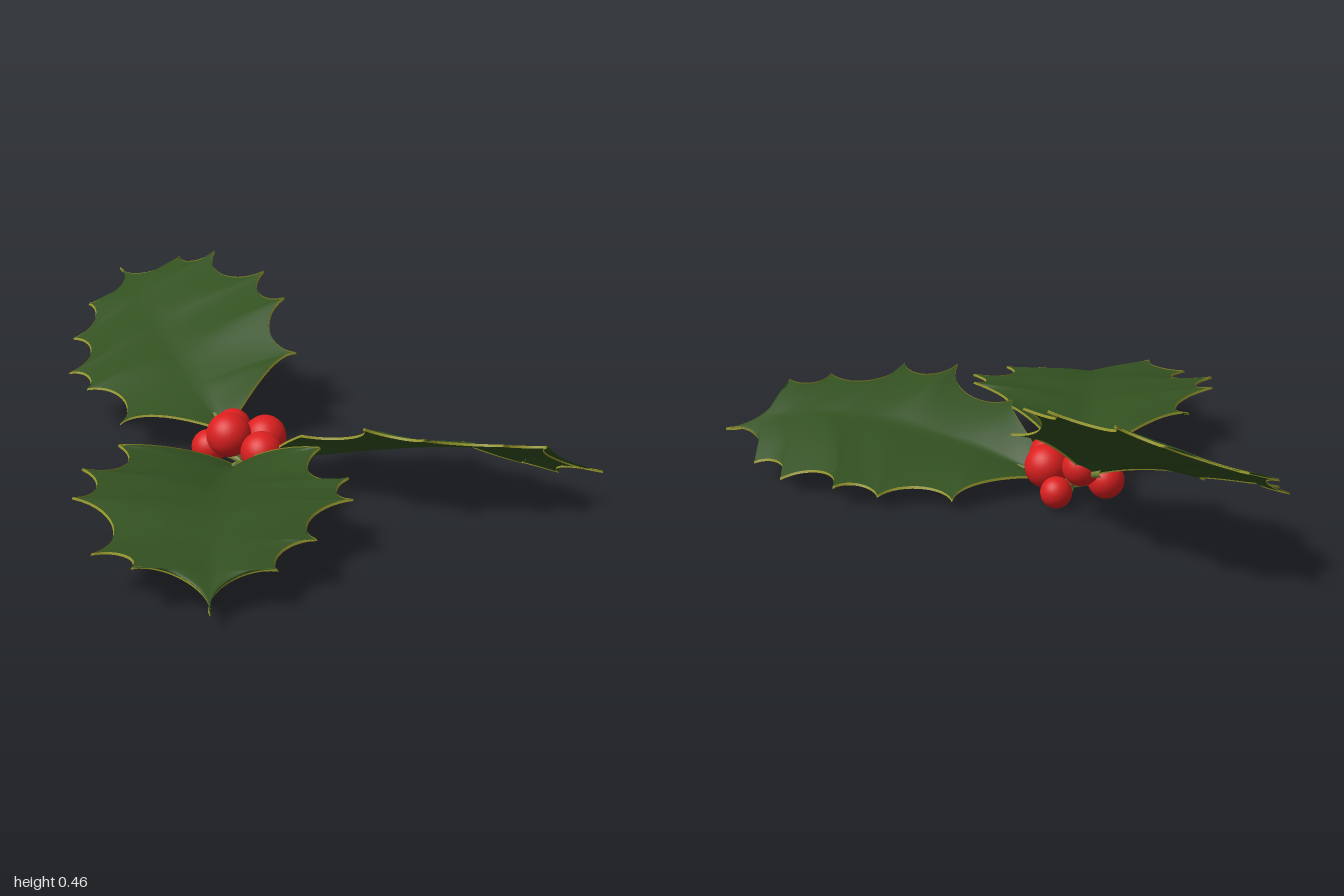
import * as THREE from 'three';

const V = (p) => new THREE.Vector3(...p);
const mat = (name, color, side = THREE.FrontSide) => {
  const m = new THREE.MeshStandardMaterial({ color, side });
  m.name = name;
  return m;
};

// Each leaf: midrib points from base to tip, then five spine tips along each margin.
const LEAVES = [
  {
    name: 'backLeaf',
    rib: [[0.24, 0.09, -0.10], [0.32, 0.175, -0.30], [0.45, 0.26, -0.56], [0.57, 0.33, -0.80], [0.668, 0.365, -1.0]],
    sides: [
      [[0.06, 0.09, -0.38], [0.13, 0.14, -0.60], [0.165, 0.16, -0.72], [0.33, 0.21, -0.875], [0.465, 0.29, -0.94]],
      [[0.55, 0.275, -0.09], [0.67, 0.40, -0.25], [0.76, 0.44, -0.42], [0.80, 0.455, -0.68], [0.765, 0.42, -0.81]],
    ],
  },
  {
    name: 'rightLeaf',
    rib: [[0.11, 0.05, 0.06], [0, 0.085, 0.14], [-0.2, 0.125, 0.29], [-0.42, 0.15, 0.47], [-0.62, 0.115, 0.65], [-0.765, 0.05, 0.785]],
    sides: [
      [[-0.245, 0.17, -0.075], [-0.49, 0.185, 0.03], [-0.64, 0.17, 0.15], [-0.805, 0.12, 0.395], [-0.815, 0.13, 0.555]],
      [[0.10, 0.19, 0.40], [-0.04, 0.19, 0.625], [-0.14, 0.18, 0.725], [-0.375, 0.15, 0.80], [-0.54, 0.115, 0.81]],
    ],
  },
  {
    name: 'frontLeaf',
    rib: [[0.21, 0.04, 0.08], [0.29, 0.11, 0.33], [0.42, 0.17, 0.64], [0.55, 0.165, 0.86], [0.66, 0.12, 0.995]],
    sides: [
      [[0.10, 0.21, 0.33], [0.10, 0.285, 0.56], [0.165, 0.275, 0.725], [0.34, 0.25, 0.87], [0.44, 0.24, 0.95]],
      [[0.545, 0.035, 0.15], [0.665, 0.04, 0.33], [0.735, 0.06, 0.44], [0.74, 0.045, 0.66], [0.71, 0.06, 0.81]],
    ],
  },
];

// Margin: deep scallops between neighbouring sharp spines.
function margin(rib, spines) {
  const tips = [rib.getPoint(0), ...spines.map(V), rib.getPoint(1)];
  const lengths = tips.slice(1).map((p, i) => p.distanceTo(tips[i]));
  const total = lengths.reduce((a, b) => a + b, 0);
  const out = [];
  let run = 0;
  lengths.forEach((len, k) => {
    const [a, b] = [tips[k], tips[k + 1]];
    const chord = b.clone().sub(a).normalize();
    const inward = rib.getPoint(0.75 * (run + len / 2) / total).sub(a.clone().lerp(b, 0.5));
    inward.addScaledVector(chord, -inward.dot(chord)).normalize();
    const handle = (f, depth, lift = 0) => a.clone().lerp(b, f)
      .addScaledVector(inward, len * depth).add(V([0, lift, 0]));
    const arc = k === 0
      ? new THREE.CubicBezierCurve3(a, handle(0.35, 0, 0.035), handle(0.85, 0.13, 0.025), b)
      : new THREE.CubicBezierCurve3(a, handle(0.18, 0.38), handle(0.82, 0.38), b);
    const steps = 14;
    for (let i = k ? 1 : 0; i <= steps; i++) {
      out.push({ p: arc.getPoint(i / steps), t: (run + len * i / steps) / total });
    }
    run += len;
  });
  return out;
}

function gridGeometry(rows) {
  const n = rows[0].length, index = [];
  for (let i = 0; i < rows.length - 1; i++) {
    for (let j = 0; j < n - 1; j++) {
      const a = i * n + j, b = a + n;
      index.push(a, a + 1, b, b, a + 1, b + 1);
    }
  }
  const g = new THREE.BufferGeometry().setFromPoints(rows.flat());
  g.setIndex(index);
  g.computeVertexNormals();
  return g;
}

function makeLeaf({ name, rib, sides }, green, rimColour) {
  const leaf = new THREE.Group();
  leaf.name = name;
  const curve = new THREE.CatmullRomCurve3(rib.map(V));
  const edges = sides.map((spines) => margin(curve, spines));

  // Blade: each row runs from one margin over the midrib to the other, gently rippled
  const rows = edges[0].map((e, i) => {
    const t = Math.min(1, (e.t + edges[1][i].t) / 2);
    return Array.from({ length: 21 }, (_, j) => {
      const w = Math.abs(j - 10) / 10;
      const q = curve.getPoint(t).lerp(edges[j < 10 ? 0 : 1][i].p, w);
      q.y += Math.sin(Math.PI * w) * Math.sin(Math.PI * t) * (0.008 + 0.003 * Math.sin(t * 34));
      return q;
    });
  });
  const blade = new THREE.Mesh(gridGeometry(rows), green);
  blade.name = 'blade';
  leaf.add(blade);

  // Thin pale rim, flaring slightly outward below the blade
  edges.forEach((edge, s) => {
    const strip = edge.map(({ p, t }) => {
      const out = p.clone().sub(curve.getPoint(Math.min(1, t))).setY(0).normalize();
      const pair = [
        p.clone().add(V([0, 0.003, 0])),
        p.clone().addScaledVector(out, 0.003).add(V([0, -0.004, 0])),
      ];
      return s ? pair : pair.reverse();
    });
    const rim = new THREE.Mesh(gridGeometry(strip), rimColour);
    rim.name = 'rim';
    leaf.add(rim);
  });
  return leaf;
}

export function createModel() {
  const model = new THREE.Group();
  const green = mat('leafGreen', 0x325020, THREE.DoubleSide);
  const rimColour = mat('rimYellowGreen', 0x96962c, THREE.DoubleSide);
  const olive = mat('stemOlive', 0x75833a);
  const red = mat('berryRed', 0xdb1f1f);

  LEAVES.forEach((l) => model.add(makeLeaf(l, green, rimColour)));

  const hub = V([0.2, 0.025, 0.02]);
  const twig = (name, points, r) => {
    const path = new THREE.CatmullRomCurve3([hub, ...points]);
    const m = new THREE.Mesh(new THREE.TubeGeometry(path, 8, r, 8), olive);
    m.name = name;
    model.add(m);
  };

  // Short main stem lying along the bottom
  const stem = new THREE.Mesh(new THREE.CylinderGeometry(0.02, 0.02, 0.14, 12), olive);
  stem.name = 'stem';
  stem.rotation.set(0, 0.6, Math.PI / 2);
  stem.position.set(0.2, 0.02, 0.02);
  model.add(stem);

  // Leaf stalks, running a little way under each midrib
  LEAVES.forEach(({ rib }) => {
    const base = V(rib[0]);
    const under = base.clone().lerp(V(rib[1]), 0.4).add(V([0, -0.008, 0]));
    twig('leafStalk', [base, under], 0.011);
  });

  // Berries on short stalks: centre and radius
  [
    [0.165, 0.058, -0.10, 0.054], [0.245, 0.11, -0.075, 0.055], [0.33, 0.05, -0.055, 0.046],
    [0.145, 0.125, 0, 0.068], [0.27, 0.098, 0.035, 0.065], [0.16, 0.094, 0.12, 0.063],
  ].forEach(([x, y, z, r]) => {
    const berry = new THREE.Mesh(new THREE.SphereGeometry(r, 28, 20), red);
    berry.name = 'berry';
    berry.position.set(x, y, z);
    model.add(berry);
    twig('berryStalk', [berry.position], 0.009);
  });

  return model;
}
